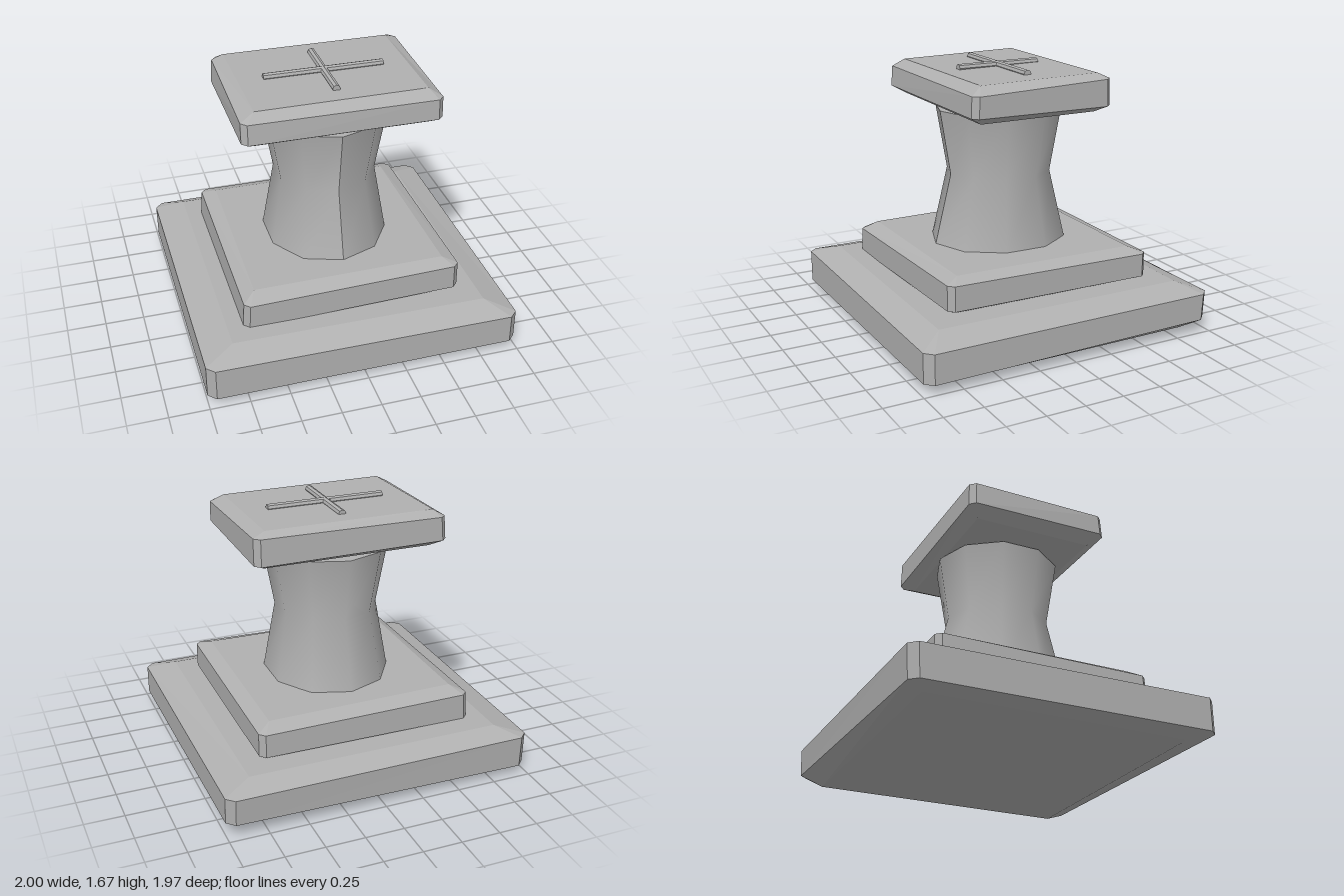
import * as THREE from 'three';

const stone = new THREE.MeshStandardMaterial({ color: 0xb0b0b0 });
stone.name = 'grey stone';
const stoneFlat = stone.clone();
stoneFlat.flatShading = true;

// Hand-cut slab: each level has four corners (front left, front right,
// back right, back left seen from the front) and a corner cut.
function slab(name, levels) {
  const rings = levels.map(({ corners, cut }) => {
    const pts = corners.map(c => new THREE.Vector3(...c));
    return pts.flatMap((p, i) => [pts[(i + 3) % 4], pts[(i + 1) % 4]].map(q =>
      p.clone().add(q.clone().sub(p).setLength(cut))));
  });
  const pos = [];
  const tri = (a, b, c) => {
    if (new THREE.Triangle(a, b, c).getArea() > 1e-7) {
      for (const p of [a, b, c]) pos.push(p.x, p.y, p.z);
    }
  };
  for (let k = 0; k < rings.length - 1; k++) {
    const lo = rings[k], hi = rings[k + 1];
    for (let i = 0; i < 8; i++) {
      const j = (i + 1) % 8;
      tri(lo[i], lo[j], hi[j]);
      tri(lo[i], hi[j], hi[i]);
    }
  }
  const bottom = rings[0], top = rings[rings.length - 1];
  for (let i = 1; i < 7; i++) {
    tri(top[0], top[i], top[i + 1]);
    tri(bottom[0], bottom[i + 1], bottom[i]);
  }
  const geo = new THREE.BufferGeometry();
  geo.setAttribute('position', new THREE.Float32BufferAttribute(pos, 3));
  geo.computeVertexNormals();
  const mesh = new THREE.Mesh(geo, stoneFlat);
  mesh.name = name;
  return mesh;
}

// Waisted ten-sided column, deeper at the foot than at the top
function column() {
  const geo = new THREE.CylinderGeometry(0.405, 0.405, 0.88, 10, 2);
  const p = geo.attributes.position;
  for (let i = 0; i < p.count; i++) {
    const y = p.getY(i);
    const waist = Math.abs(y) < 0.1;
    const sx = waist ? 0.81 : 1;
    const sz = waist ? 0.84 : y < 0 ? 1.125 : 1.01;
    p.setXYZ(i, p.getX(i) * sx, waist ? 0.97 : y < 0 ? 0.51 : 1.39, p.getZ(i) * sz);
  }
  geo.computeVertexNormals();
  const mesh = new THREE.Mesh(geo, stone);
  mesh.name = 'column';
  return mesh;
}

export function createModel() {
  const model = new THREE.Group();
  model.name = 'pedestal';

  model.add(slab('basePlinth', [
    { cut: 0, corners: [[-0.88, 0.02, 0.83], [0.88, 0, 0.83], [0.88, 0.01, -0.85], [-0.88, 0.03, -0.85]] },
    { cut: 0.05, corners: [[-1, 0.05, 0.98], [1, 0.06, 0.98], [1, 0.09, -0.98], [-1, 0.05, -0.96]] },
    { cut: 0.05, corners: [[-1, 0.26, 0.98], [1, 0.25, 0.98], [1, 0.26, -0.99], [-1, 0.26, -0.97]] },
    { cut: 0, corners: [[-0.81, 0.32, 0.82], [0.82, 0.31, 0.82], [0.82, 0.31, -0.84], [-0.81, 0.32, -0.85]] },
  ]));

  model.add(slab('middleStep', [
    { cut: 0, corners: [[-0.62, 0.29, 0.61], [0.62, 0.3, 0.61], [0.62, 0.3, -0.61], [-0.62, 0.3, -0.6]] },
    { cut: 0.035, corners: [[-0.71, 0.31, 0.7], [0.7, 0.34, 0.69], [0.7, 0.33, -0.71], [-0.71, 0.32, -0.7]] },
    { cut: 0.035, corners: [[-0.7, 0.47, 0.7], [0.7, 0.5, 0.69], [0.7, 0.48, -0.71], [-0.7, 0.49, -0.7]] },
    { cut: 0, corners: [[-0.62, 0.52, 0.6], [0.61, 0.53, 0.6], [0.61, 0.52, -0.61], [-0.61, 0.53, -0.6]] },
  ]));

  model.add(column());

  model.add(slab('capSlab', [
    { cut: 0, corners: [[-0.54, 1.41, 0.4], [0.54, 1.41, 0.4], [0.54, 1.41, -0.38], [-0.54, 1.41, -0.38]] },
    { cut: 0.035, corners: [[-0.63, 1.46, 0.485], [0.62, 1.46, 0.485], [0.62, 1.45, -0.465], [-0.63, 1.46, -0.465]] },
    { cut: 0.035, corners: [[-0.63, 1.59, 0.475], [0.62, 1.59, 0.48], [0.62, 1.62, -0.46], [-0.62, 1.61, -0.46]] },
    { cut: 0, corners: [[-0.54, 1.64, 0.41], [0.54, 1.64, 0.4], [0.54, 1.65, -0.4], [-0.55, 1.65, -0.4]] },
  ]));

  // Crossed rods half sunk into the cap
  for (const [name, length, axis] of [['crossRodWide', 0.77, 'z'], ['crossRodDeep', 0.56, 'x']]) {
    const rod = new THREE.Mesh(new THREE.CylinderGeometry(0.025, 0.025, length, 8), stoneFlat);
    rod.name = name;
    rod.rotation[axis] = Math.PI / 2;
    rod.position.y = 1.65;
    model.add(rod);
  }
  return model;
}
